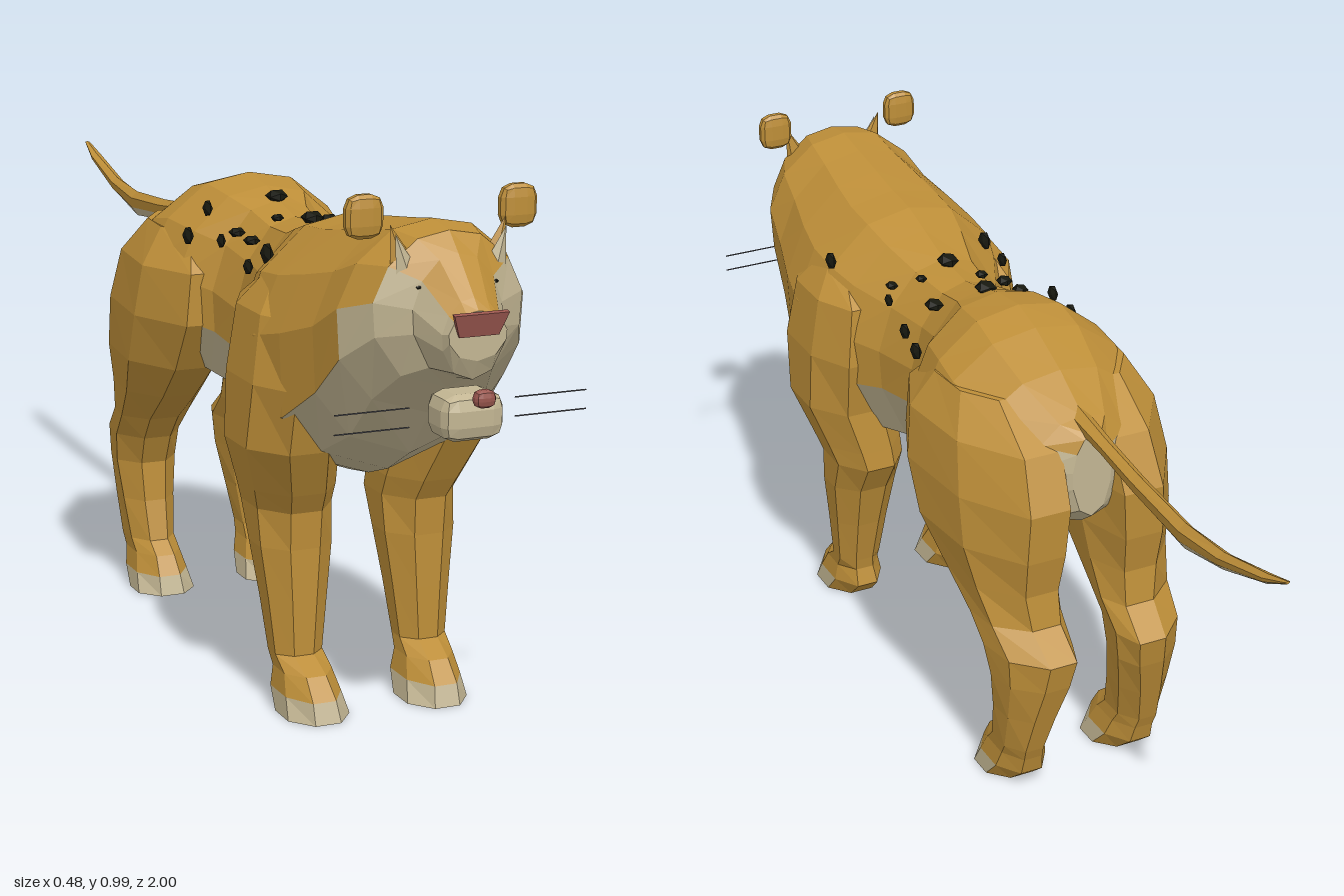
import * as THREE from 'three';
import { RoundedBoxGeometry } from 'three/addons/geometries/RoundedBoxGeometry.js';

const mat = (name, color) => {
  const m = new THREE.MeshStandardMaterial({ color });
  m.name = name;
  return m;
};

// Faceted normals for the low-poly look
function facet(geo) {
  const g = geo.index ? geo.toNonIndexed() : geo;
  g.computeVertexNormals();
  return g;
}

// Skin closed rings of points; pick(i, j) gives the material index of each quad,
// caps gives the material index of the first and last end
function loft(rings, pick, caps) {
  const lists = [[], []];
  const tri = (m, ...pts) => pts.forEach(p => lists[m].push(...p));
  const n = rings[0].length;
  for (let i = 0; i < rings.length - 1; i++) {
    for (let j = 0; j < n; j++) {
      const k = (j + 1) % n, m = pick(i, j);
      const a = rings[i][j], b = rings[i][k], c = rings[i + 1][k], d = rings[i + 1][j];
      tri(m, a, d, c);
      tri(m, a, c, b);
    }
  }
  [rings[0], rings[rings.length - 1]].forEach((r, e) => {
    const mid = [0, 1, 2].map(q => r.reduce((s, p) => s + p[q], 0) / n);
    for (let j = 0; j < n; j++) {
      const p = r[j], q = r[(j + 1) % n];
      if (e === 0) tri(caps[0], mid, p, q);
      else tri(caps[1], mid, q, p);
    }
  });
  const geo = new THREE.BufferGeometry();
  geo.setAttribute('position', new THREE.Float32BufferAttribute([...lists[0], ...lists[1]], 3));
  geo.addGroup(0, lists[0].length / 3, 0);
  geo.addGroup(lists[0].length / 3, lists[1].length / 3, 1);
  geo.computeVertexNormals();
  return geo;
}

// Half outline of the trunk: x share of half width, y share of height
const HALF = [[0, 1], [0.42, 0.96], [0.8, 0.8], [1, 0.58], [0.97, 0.38], [0.62, 0.1], [0, 0]];
const OUTLINE = [...HALF, ...HALF.slice(1, -1).reverse().map(([x, y]) => [-x, y])];

// z, top, bottom, half width, first cream strip counted from the spine, height share of the flank edge
const TRUNK = [
  [-0.33, 0.75, 0.58, 0.04, 2, 0.38], [-0.29, 0.772, 0.55, 0.11, 4, 0.38], [-0.2, 0.825, 0.53, 0.185, 4, 0.38],
  [-0.1, 0.868, 0.50, 0.215, 4, 0.38], [-0.03, 0.886, 0.49, 0.21, 4, 0.38], [0.06, 0.874, 0.48, 0.185, 4, 0.38],
  [0.12, 0.856, 0.46, 0.135, 4, 0.38], [0.2, 0.838, 0.44, 0.12, 4, 0.38], [0.3, 0.845, 0.43, 0.145, 4, 0.38],
  [0.39, 0.872, 0.412, 0.195, 4, 0.35], [0.46, 0.893, 0.415, 0.22, 4, 0.3], [0.54, 0.9, 0.43, 0.222, 4, 0.25],
  [0.62, 0.912, 0.458, 0.208, 4, 0.25], [0.71, 0.925, 0.51, 0.185, 4, 0.3], [0.785, 0.937, 0.6, 0.174, 3, 0.32],
  [0.85, 0.928, 0.66, 0.138, 2, 0.36], [0.885, 0.895, 0.685, 0.082, 2, 0.38], [0.945, 0.833, 0.695, 0.057, 2, 0.38],
  [0.962, 0.814, 0.73, 0.053, 2, 0.38]];

// y, back z, front z, inner x, outer x, inward pinch of the back
const FRONT_LEG = [
  [0.79, 0.43, 0.56, 0.1, 0.18, 0], [0.74, 0.36, 0.63, 0.08, 0.215, 0], [0.62, 0.35, 0.655, 0.08, 0.235, 0],
  [0.5, 0.37, 0.62, 0.06, 0.24, 0], [0.41, 0.36, 0.57, 0.05, 0.208, 0], [0.37, 0.355, 0.545, 0.05, 0.195, 0],
  [0.3, 0.4, 0.54, 0.053, 0.192, 0], [0.2, 0.43, 0.54, 0.066, 0.18, 0], [0.1, 0.455, 0.54, 0.078, 0.17, 0],
  [0.075, 0.46, 0.59, 0.075, 0.168, 0], [0.038, 0.45, 0.625, 0.066, 0.174, 0], [0, 0.49, 0.638, 0.058, 0.178, 0]];
const HIND_LEG = [
  [0.79, -0.2, 0.03, 0.06, 0.18, 0.02], [0.72, -0.31, 0.1, 0.04, 0.225, 0.045], [0.62, -0.355, 0.1, 0.04, 0.238, 0.045],
  [0.52, -0.35, 0.035, 0.045, 0.235, 0.04], [0.44, -0.335, -0.07, 0.05, 0.215, 0.03], [0.37, -0.345, -0.17, 0.055, 0.2, 0.03],
  [0.32, -0.408, -0.21, 0.06, 0.195, 0.035], [0.26, -0.395, -0.24, 0.062, 0.188, 0.025], [0.18, -0.37, -0.235, 0.07, 0.178, 0.01],
  [0.1, -0.345, -0.215, 0.078, 0.17, 0], [0.075, -0.335, -0.185, 0.075, 0.168, 0], [0.038, -0.325, -0.163, 0.066, 0.174, 0],
  [0, -0.28, -0.152, 0.058, 0.178, 0]];

// z, top, bottom, half width
const TAIL = [
  [-1, 0.803, 0.797, 0.005], [-0.94, 0.785, 0.765, 0.012], [-0.8, 0.752, 0.717, 0.014],
  [-0.67, 0.742, 0.69, 0.015], [-0.5, 0.753, 0.708, 0.015], [-0.38, 0.766, 0.728, 0.015],
  [-0.26, 0.785, 0.735, 0.018]];

// x, y, z, radius
const SPOTS = [
  [0, 0.862, 0.11, 0.024], [0, 0.85, 0.28, 0.024], [0.16, 0.77, 0.09, 0.019], [0.16, 0.79, 0.14, 0.017],
  [0.085, 0.82, 0.165, 0.021], [0.07, 0.835, 0.255, 0.013], [0.13, 0.79, 0.28, 0.014], [0.105, 0.8, 0.32, 0.014],
  [0.188, 0.826, 0.43, 0.019], [-0.165, 0.79, 0.07, 0.019], [-0.125, 0.84, 0.07, 0.017], [-0.125, 0.79, 0.14, 0.015],
  [-0.105, 0.81, 0.17, 0.018], [-0.04, 0.84, 0.21, 0.014], [-0.1, 0.805, 0.23, 0.018], [-0.16, 0.785, 0.36, 0.016],
  [-0.14, 0.815, 0.4, 0.021]];

function legGeometry(rows, side) {
  const rings = rows.map(([y, zb, zf, xi, xo, pinch]) => Array.from({ length: 8 }, (_, j) => {
    const t = (j + 0.5) * Math.PI / 4, s = 1 / Math.cos(Math.PI / 8);
    const shift = side * pinch * Math.max(0, -Math.cos(t));
    return [side * (xi + xo) / 2 + Math.sin(t) * s * (xo - xi) / 2 - shift, y,
      (zb + zf) / 2 + Math.cos(t) * s * (zf - zb) / 2];
  }));
  const toes = new Set([0, 1, 5, 6, 7]);
  return loft(rings, (i, j) => (i === rows.length - 2 && toes.has(j) ? 1 : 0), [0, 1]);
}

// Small block with strongly bevelled corners, flattened to the given depth
function bevelled(w, h, depth, r) {
  const g = new RoundedBoxGeometry(w, h, w, 1, r);
  g.scale(1, 1, depth / w);
  return facet(g);
}

export function createModel() {
  const tan = mat('tan fur', 0xbd8e38);
  const cream = mat('cream fur', 0xc2b592);
  const pink = mat('nose pink', 0x99564e);
  const black = mat('spot black', 0x17180f);
  const grey = mat('whisker grey', 0x55555a);

  const model = new THREE.Group();
  model.name = 'bigCat';
  const add = (name, geo, material, x = 0, y = 0, z = 0) => {
    const m = new THREE.Mesh(geo, material);
    m.name = name;
    m.position.set(x, y, z);
    model.add(m);
    return m;
  };

  // Trunk, neck and head in one skin, cream below
  const trunk = TRUNK.map(([z, top, bot, w, , edge]) => OUTLINE.map(([x, y], j) =>
    [x * w, bot + (j === 4 || j === 8 ? edge : y) * (top - bot), z]));
  add('bodyAndHead', loft(trunk, (i, j) => (Math.min(j, 11 - j) >= TRUNK[i][4] ? 1 : 0), [1, 1]), [tan, cream]);

  // Tail with a pale underside
  const tail = TAIL.map(([z, t, b, w]) => {
    const hi = t - (t - b) * 0.25, lo = b + (t - b) * 0.35;
    return [[0, t, z], [w, hi, z], [w * 0.85, lo, z], [0, b, z], [-w * 0.85, lo, z], [-w, hi, z]];
  });
  add('tail', loft(tail, (i, j) => (j === 2 || j === 3 ? 1 : 0), [0, 0]), [tan, cream]);

  // Nose pad, a thin plate leaning out over the end of the snout
  const pad = new THREE.BoxGeometry(0.1, 0.04, 0.009);
  const pp = pad.attributes.position;
  for (let i = 0; i < pp.count; i++) if (pp.getY(i) < 0) pp.setX(i, pp.getX(i) * 0.72);
  add('nosePad', facet(pad), pink, 0, 0.793, 0.967).rotation.x = 0.25;

  for (const side of [1, -1]) {
    const label = side > 0 ? 'left' : 'right';
    add(label + 'FrontLeg', legGeometry(FRONT_LEG, side), [tan, cream]);
    add(label + 'HindLeg', legGeometry(HIND_LEG, side), [tan, cream]);

    // Pointed ear with pale inside
    const ear = add(label + 'Ear', facet(new THREE.ConeGeometry(0.04, 0.12, 5)), tan, side * 0.088, 0.886, 0.845);
    ear.scale.z = 0.45;
    ear.rotation.z = -side * 0.3;
    const inner = add(label + 'EarInside', facet(new THREE.ConeGeometry(0.031, 0.1, 5)), cream, side * 0.087, 0.882, 0.857);
    inner.scale.z = 0.45;
    inner.rotation.z = -side * 0.3;

    // Separate rounded ear above the head
    add(label + 'RoundEar', bevelled(0.068, 0.074, 0.028, 0.022), tan, side * 0.142, 0.955, 0.818);

    const eye = add(label + 'Eye', facet(new THREE.IcosahedronGeometry(0.008, 0)), black, side * 0.069, 0.843, 0.884);
    eye.scale.set(1, 0.4, 0.4);

    // Whiskers
    for (const y of [0.615, 0.648]) {
      add(label + 'Whisker', new THREE.BoxGeometry(0.135, 0.002, 0.002), grey, side * 0.165, y, 0.91);
    }
  }

  // Separate muzzle and nose below the head
  add('muzzle', bevelled(0.114, 0.08, 0.085, 0.026), cream, 0, 0.632, 0.921);
  add('noseTip', bevelled(0.038, 0.03, 0.024, 0.012), pink, 0, 0.673, 0.988);

  // Spots over the back; those on the flanks stand upright
  SPOTS.forEach(([x, y, z, r]) => {
    const flank = Math.abs(x) > 0.12;
    const s = add('spot', facet(new THREE.IcosahedronGeometry(r, 0)), black, x, y, z);
    s.scale.set(flank ? 0.5 : 0.9, flank ? 1 : 0.55, 1);
  });

  return model;
}
